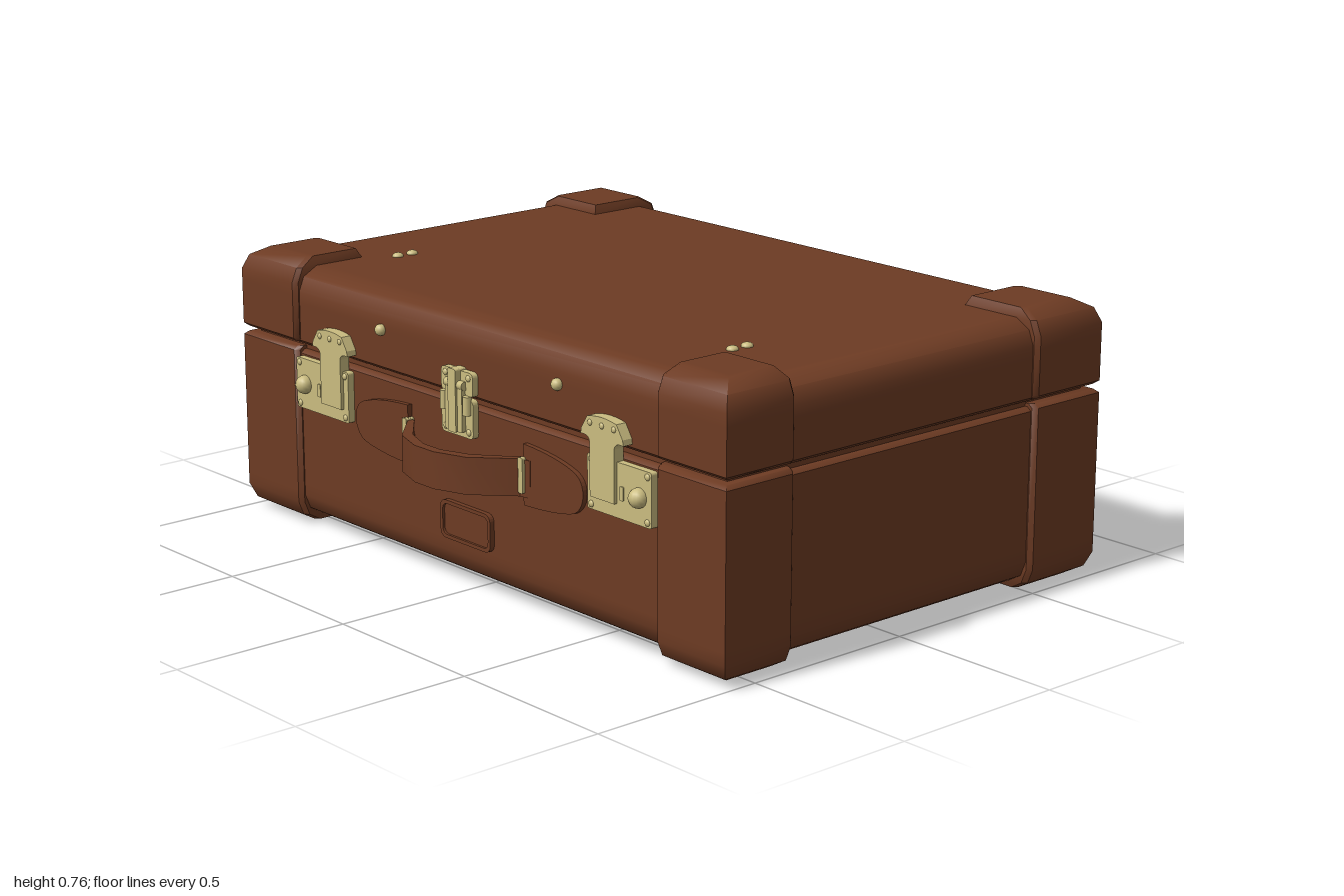
import * as THREE from 'three';
import { toCreasedNormals } from 'three/addons/utils/BufferGeometryUtils.js';

const leather = new THREE.MeshStandardMaterial({ color: 0x6d3b23 });
leather.name = 'brown leather';
const brass = new THREE.MeshStandardMaterial({ color: 0xcabc80 });
brass.name = 'pale brass';

const FRONT = 0.585; // front wall of the case

function add(parent, name, geometry, material, x = 0, y = 0, z = 0) {
  const mesh = new THREE.Mesh(geometry, material);
  mesh.name = name;
  mesh.position.set(x, y, z);
  parent.add(mesh);
  return mesh;
}

// Closed solid through horizontal rings of [x, z] points, lowest ring first
function loft(rings) {
  const pos = [];
  const n = rings[0].points.length;
  const put = (r, j) => pos.push(r.points[j % n][0], r.y, r.points[j % n][1]);
  for (let i = 0; i < rings.length - 1; i++) {
    const lo = rings[i], hi = rings[i + 1];
    for (let j = 0; j < n; j++) {
      put(lo, j); put(lo, j + 1); put(hi, j + 1);
      put(lo, j); put(hi, j + 1); put(hi, j);
    }
  }
  const first = rings[0], last = rings[rings.length - 1];
  for (let j = 1; j < n - 1; j++) {
    put(first, 0); put(first, j + 1); put(first, j);
    put(last, 0); put(last, j); put(last, j + 1);
  }
  const g = new THREE.BufferGeometry();
  g.setAttribute('position', new THREE.Float32BufferAttribute(pos, 3));
  return toCreasedNormals(g, 0.72);
}

// Rounded outer edge as [height, inset, inner inset]
const edge = [[0, 0.08, 0.012], [0, 0.06, 0.012], [0.025, 0.016, 0], [0.065, 0, 0], [0.1, 0, 0]];
const baseProfile = (y0, y1) => [
  ...edge.map(([h, d, e]) => [y0 + h, d, e]), [y1 - 0.01, 0, 0], [y1, 0.012, 0],
];
const lidProfile = (y0, y1) => [
  [y0, 0.012, 0], [y0 + 0.01, 0, 0], ...edge.map(([h, d, e]) => [y1 - h, d, e]).reverse(),
];

function shell(profile) {
  return loft(profile.map(([y, d]) => {
    const x = 0.985 - d, zf = FRONT - d, zb = -0.72 + d;
    return { y, points: [[x, zf], [x, zb], [-x, zb], [-x, zf]] };
  }));
}

function cornerCap(profile, sx, sz) {
  const Z = sz > 0 ? 0.6 : 0.735, zi = sz > 0 ? 0.37 : 0.485, b = 0.012;
  return loft(profile.map(([y, d, e]) => {
    const X = 1 - d, Zd = Z - d, xi = 0.745 + e, zn = zi + e;
    const points = [[X, Zd], [X, zn + b], [X - b, zn], [xi, zn], [xi, Zd - b], [xi + b, Zd]]
      .map(([x, z]) => [x * sx, z * sz]);
    if (sx * sz < 0) points.reverse();
    return { y, points };
  }));
}

function roundRect(w, h, r, Type = THREE.Shape) {
  const s = new Type(), x = w / 2, y = h / 2;
  s.moveTo(-x + r, -y);
  s.lineTo(x - r, -y); s.quadraticCurveTo(x, -y, x, -y + r);
  s.lineTo(x, y - r); s.quadraticCurveTo(x, y, x - r, y);
  s.lineTo(-x + r, y); s.quadraticCurveTo(-x, y, -x, y - r);
  s.lineTo(-x, -y + r); s.quadraticCurveTo(-x, -y, -x + r, -y);
  return s;
}
const slab = (shape, depth) =>
  new THREE.ExtrudeGeometry(shape, { depth, bevelEnabled: false, curveSegments: 6 });

function stud(parent, name, r, x, y, z, flat = 0.6) {
  const m = add(parent, name, new THREE.SphereGeometry(r, 14, 10), brass, x, y, z);
  m.scale.z = flat;
  return m;
}

// Side lock, drawn for +x and mirrored through its positions
function lock(s) {
  const g = new THREE.Group();
  g.name = s > 0 ? 'leftLock' : 'rightLock';
  add(g, 'lockPlate', slab(roundRect(0.24, 0.143, 0.008), 0.02), brass, s * 0.62, 0.42, FRONT);
  stud(g, 'lockButton', 0.026, s * 0.697, 0.42, 0.61, 1);
  add(g, 'lockSlot', slab(roundRect(0.014, 0.036, 0.004), 0.004), brass, s * 0.632, 0.415, 0.605);
  for (const x of [0.515, 0.725]) {
    for (const y of [0.362, 0.478]) stud(g, 'lockScrew', 0.009, s * x, y, 0.605);
  }
  // Hasp: strap widening into a fan on the lid
  const h = new THREE.Shape();
  h.moveTo(-0.046, -0.19); h.lineTo(0.046, -0.19);
  h.lineTo(0.046, -0.05); h.quadraticCurveTo(0.05, -0.03, 0.08, -0.035);
  h.lineTo(0.078, -0.02); h.lineTo(0.055, 0.015);
  h.quadraticCurveTo(0, 0.028, -0.055, 0.015);
  h.lineTo(-0.078, -0.02); h.lineTo(-0.08, -0.035);
  h.quadraticCurveTo(-0.05, -0.03, -0.046, -0.05);
  add(g, 'hasp', slab(h, 0.03), brass, s * 0.567, 0.575, FRONT);
  for (const x of [-0.045, 0, 0.045]) stud(g, 'haspRivet', 0.008, s * 0.567 + x, 0.575, 0.615);
  return g;
}

function centreClasp() {
  const g = new THREE.Group();
  g.name = 'centreClasp';
  g.position.set(-0.023, 0, FRONT);
  add(g, 'upperPlate', slab(roundRect(0.132, 0.065, 0.015), 0.018), brass, 0, 0.565);
  add(g, 'lowerPlate', slab(roundRect(0.132, 0.105, 0.015), 0.018), brass, 0, 0.473);
  add(g, 'lever', slab(roundRect(0.07, 0.12, 0.006), 0.03), brass, 0, 0.495);
  add(g, 'leverRidge', slab(roundRect(0.032, 0.17, 0.006), 0.036), brass, 0, 0.518);
  for (const [x, y] of [[0, 0.56], [-0.047, 0.51], [0.047, 0.51]]) {
    const hinge = new THREE.CylinderGeometry(0.012, 0.012, x ? 0.05 : 0.075, 10);
    if (!x) hinge.rotateZ(Math.PI / 2);
    add(g, 'hingeBarrel', hinge, brass, x, y, 0.022);
  }
  for (const x of [-0.048, 0.048]) {
    for (const y of [0.437, 0.582]) stud(g, 'claspRivet', 0.009, x, y, 0.018);
  }
  return g;
}

function handle() {
  const g = new THREE.Group();
  g.name = 'handle';
  // Bowed strap, outlined from above
  const outer = [[-0.27, 0.6], [-0.235, 0.605], [-0.135, 0.7], [-0.04, 0.732], [0.04, 0.732],
    [0.135, 0.7], [0.235, 0.605], [0.27, 0.6]];
  const inner = [[0.27, 0.588], [0.225, 0.59], [0.12, 0.675], [0.035, 0.705], [-0.035, 0.705],
    [-0.12, 0.675], [-0.225, 0.59], [-0.27, 0.588]];
  const shape = new THREE.Shape([...outer, ...inner].map(([x, z]) => new THREE.Vector2(x, -z)));
  const strap = slab(shape, 0.1).rotateX(-Math.PI / 2);
  add(g, 'strap', toCreasedNormals(strap, 0.5), leather, 0, 0.315, 0);
  for (const s of [-1, 1]) {
    // Stitched tab with a tapering round end
    const t = new THREE.Shape();
    t.moveTo(s * 0.242, 0.292); t.lineTo(s * 0.242, 0.455);
    t.quadraticCurveTo(s * 0.37, 0.45, s * 0.44, 0.425);
    t.quadraticCurveTo(s * 0.476, 0.41, s * 0.476, 0.373);
    t.quadraticCurveTo(s * 0.476, 0.335, s * 0.44, 0.315);
    t.quadraticCurveTo(s * 0.37, 0.295, s * 0.242, 0.292);
    add(g, 'handleTab', slab(t, 0.014), leather, 0, 0, FRONT);
    add(g, 'handleRing', slab(roundRect(0.018, 0.095, 0.005), 0.026), brass, s * 0.243, 0.373, FRONT);
  }
  return g;
}

export function createModel() {
  const model = new THREE.Group();
  model.name = 'suitcase';

  // Case halves and the recessed seam between them
  add(model, 'base', shell(baseProfile(0.02, 0.506)), leather);
  add(model, 'lid', shell(lidProfile(0.522, 0.735)), leather);
  add(model, 'seam', new THREE.BoxGeometry(1.93, 0.06, 1.265), leather, 0, 0.514, -0.0675);

  // Reinforced corners
  for (const sx of [-1, 1]) {
    for (const sz of [-1, 1]) {
      add(model, 'baseCorner', cornerCap(baseProfile(0, 0.515), sx, sz), leather);
      add(model, 'lidCorner', cornerCap(lidProfile(0.528, 0.76), sx, sz), leather);
    }
    // Studs on the lid front and top
    stud(model, 'frontStud', 0.016, sx * 0.367, 0.635, FRONT + 0.005, 1);
    for (const z of [0.24, 0.29]) {
      stud(model, 'topStud', 0.016, sx * 0.685, 0.737, z).rotation.x = -Math.PI / 2;
    }
    model.add(lock(sx));
  }
  model.add(centreClasp(), handle());

  // Label holder: raised frame around a thin panel
  const frame = roundRect(0.21, 0.105, 0.025);
  frame.holes.push(roundRect(0.19, 0.085, 0.02, THREE.Path));
  add(model, 'labelFrame', slab(frame, 0.014), leather, -0.003, 0.177, FRONT);
  add(model, 'labelPanel', slab(roundRect(0.2, 0.095, 0.02), 0.007), leather, -0.003, 0.177, FRONT);
  return model;
}
